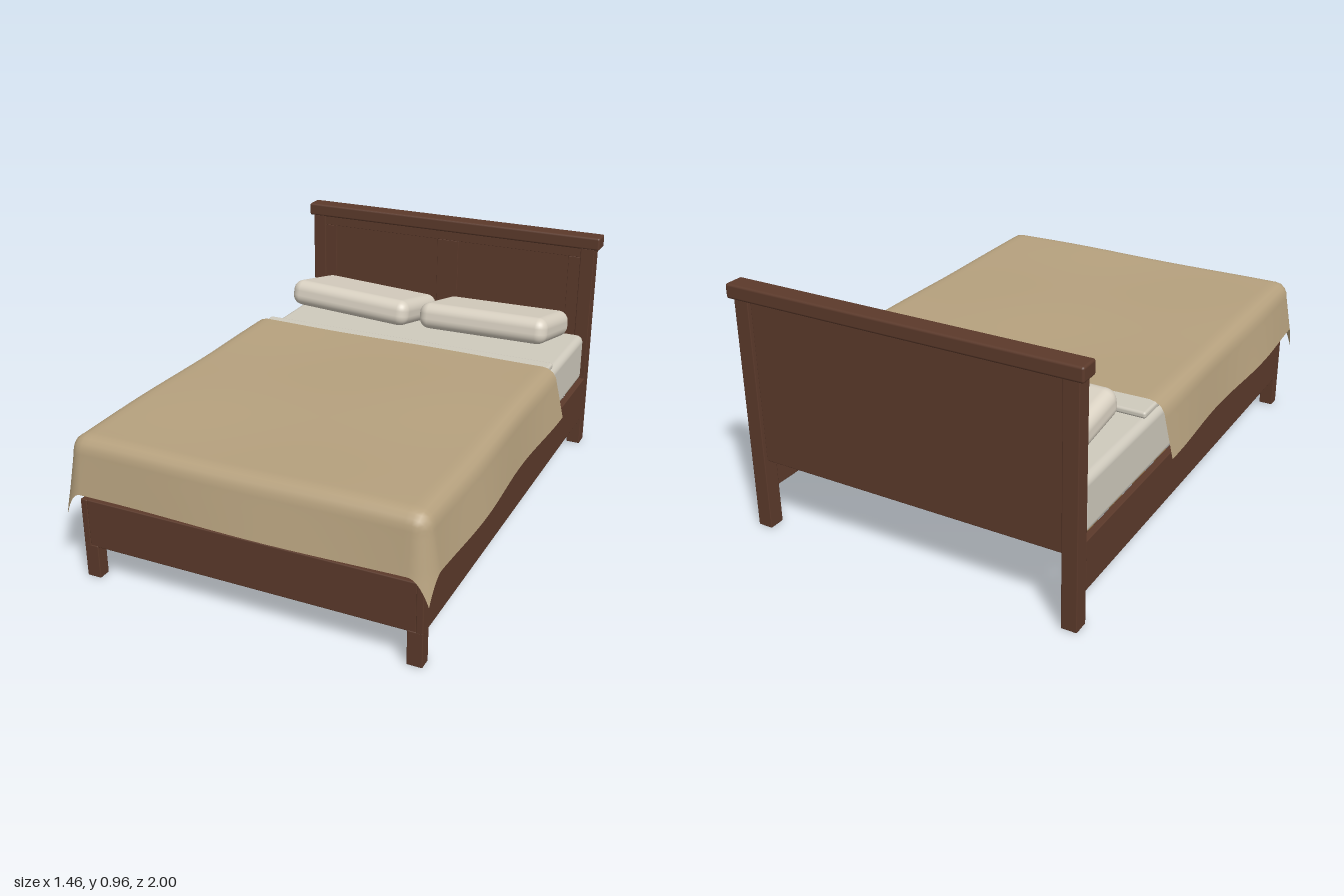
import * as THREE from 'three';
import { RoundedBoxGeometry } from 'three/addons/geometries/RoundedBoxGeometry.js';

const material = (name, color, extra = {}) => {
  const m = new THREE.MeshStandardMaterial({ color, ...extra });
  m.name = name;
  return m;
};

// Blanket: a flat sheet whose overhang rolls over the mattress edge and flares outwards
function blanketGeometry() {
  const coreX = 0.63, coreZ = 0.9, headZ = -0.385, r = 0.06;
  const arc = r * Math.PI / 2, hang = arc + 0.148, flare = 0.2;
  const width = 2 * (coreX + hang), length = coreZ + hang - headZ;
  const geo = new THREE.PlaneGeometry(width, length, 72, 72);
  geo.rotateX(-Math.PI / 2);
  geo.translate(0, 0, headZ + length / 2);
  const p = geo.attributes.position;
  for (let i = 0; i < p.count; i++) {
    const u = p.getX(i), v = p.getZ(i);
    const cx = THREE.MathUtils.clamp(u, -coreX, coreX), cz = Math.min(v, coreZ);
    const dx = u - cx, dz = v - cz, d = Math.hypot(dx, dz);
    let out, drop;
    if (d < arc) {
      out = r * Math.sin(d / r);
      drop = r * (1 - Math.cos(d / r));
    } else {
      out = r + flare * (d - arc);
      drop = r + d - arc;
    }
    // gentle creases on top, soft waves along the hem
    const top = 0.004 * Math.sin(5 * u + 3 * v) * Math.cos(4 * v - 2 * u);
    const hem = 0.008 * Math.sin(7 * cz + 5 * cx + 1) * Math.min(1, d / hang);
    const k = d > 0 ? (out + hem) / d : 0;
    p.setXYZ(i, cx + dx * k, 0.575 - drop + top * Math.max(0, 1 - d / hang), cz + dz * k);
  }
  geo.computeVertexNormals();
  return geo;
}

export function createModel() {
  const bed = new THREE.Group();
  bed.name = 'bed';
  const wood = material('dark wood', 0x5c3a2b);
  const slatWood = material('slat wood', 0x8c6a40);
  const linen = material('mattress linen', 0xcfcabd);
  const pillowCotton = material('pillow cotton', 0xd8d0c1);
  const blanketWool = material('tan blanket', 0xb6a17e, { side: THREE.DoubleSide });

  // Box given by its minimum and maximum corners, with softened edges
  const block = (name, mat, [x0, y0, z0], [x1, y1, z1], radius = 0.004, seg = 1) => {
    const geo = new RoundedBoxGeometry(x1 - x0, y1 - y0, z1 - z0, seg, radius);
    const mesh = new THREE.Mesh(geo, mat);
    mesh.position.set((x0 + x1) / 2, (y0 + y1) / 2, (z0 + z1) / 2);
    mesh.name = name;
    bed.add(mesh);
    return mesh;
  };
  const mirrored = (name, mat, [x0, y0, z0], [x1, y1, z1], radius) => {
    block(name + 'Left', mat, [x0, y0, z0], [x1, y1, z1], radius);
    block(name + 'Right', mat, [-x1, y0, z0], [-x0, y1, z1], radius);
  };

  // Headboard: posts, cap, back board and a frame around two sunken panels
  mirrored('headboardPost', wood, [0.61, 0, -0.985], [0.67, 0.915, -0.922]);
  block('headboardCap', wood, [-0.69, 0.91, -1], [0.69, 0.965, -0.92], 0.009, 2);
  block('headboardBoard', wood, [-0.612, 0.28, -0.97], [0.612, 0.912, -0.944]);
  block('headboardTopRail', wood, [-0.612, 0.87, -0.95], [0.612, 0.912, -0.932], 0.002);
  block('headboardBottomRail', wood, [-0.612, 0.28, -0.95], [0.612, 0.4, -0.932], 0.002);
  block('headboardMiddleStile', wood, [-0.05, 0.4, -0.95], [0.05, 0.87, -0.932], 0.002);
  mirrored('headboardStile', wood, [0.557, 0.4, -0.95], [0.612, 0.87, -0.932], 0.002);

  // Frame: side rails, foot rail and short front legs
  mirrored('sideRail', wood, [0.643, 0.13, -0.925], [0.67, 0.32, 0.935]);
  block('footRail', wood, [-0.645, 0.13, 0.905], [0.645, 0.32, 0.933]);
  mirrored('frontLeg', wood, [0.612, 0, 0.885], [0.67, 0.135, 0.935]);

  // Slats across the frame
  const slats = 10;
  for (let i = 0; i < slats; i++) {
    const z = -0.82 + (1.64 * i) / (slats - 1);
    block('slat', slatWood, [-0.645, 0.29, z - 0.035], [0.645, 0.315, z + 0.035], 0.002);
  }

  // Bedding
  block('mattress', linen, [-0.657, 0.32, -0.918], [0.657, 0.53, 0.92], 0.03, 3);
  block('foldedSheet', linen, [-0.652, 0.538, -0.462], [0.652, 0.564, -0.3], 0.01, 2);

  const blanket = new THREE.Mesh(blanketGeometry(), blanketWool);
  blanket.name = 'blanket';
  bed.add(blanket);

  // Pillows: plump at the middle, propped up a little at the front
  const pillowGeo = new RoundedBoxGeometry(0.575, 0.112, 0.355, 4, 0.045);
  [['pillowRight', -0.313, -0.05, -0.03], ['pillowLeft', 0.304, -0.035, 0.025]].forEach(([name, x, yaw, roll]) => {
    const pillow = new THREE.Mesh(pillowGeo, pillowCotton);
    pillow.name = name;
    pillow.position.set(x, 0.61, -0.722);
    pillow.rotation.set(-0.2, yaw, roll, 'YXZ');
    bed.add(pillow);
  });

  return bed;
}
